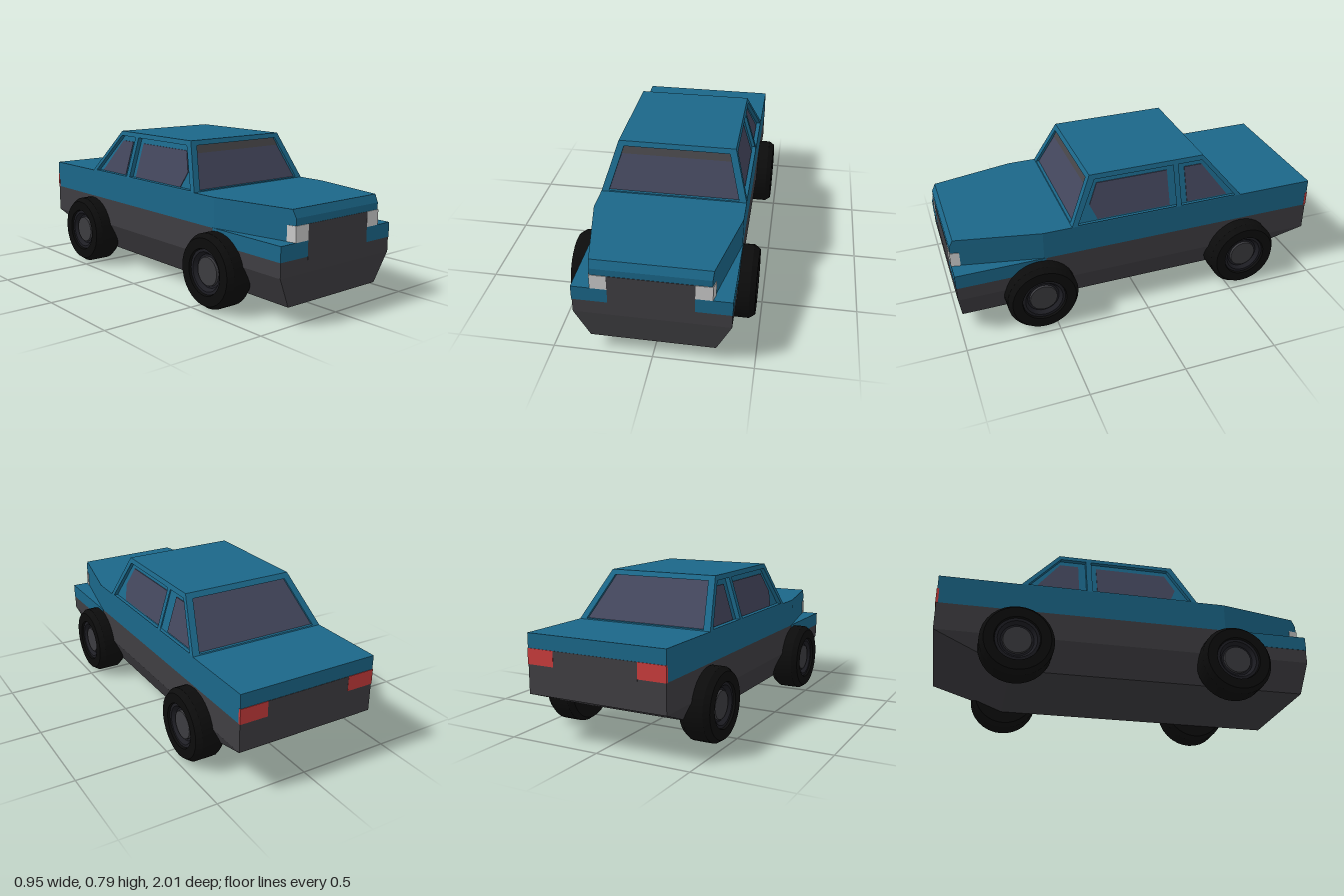
import * as THREE from 'three';
import { toCreasedNormals } from 'three/addons/utils/BufferGeometryUtils.js';
import { ConvexGeometry } from 'three/addons/geometries/ConvexGeometry.js';

const mat = (color) => new THREE.MeshStandardMaterial({ color });
const BLUE = mat(0x1b6789), GREY = mat(0x3f3e42), GLASS = mat(0x43465c), SHADE = mat(0x454447);
const LAMP = mat(0xcccccc), RED = mat(0xc83c3c), TYRE = mat(0x0c0c0c), RIM = mat(0x1e1e24), HUB = mat(0x3c3c40);

// Cabin outline: belt line, roof line, and how each face leans between them
const BELT = 0.545, ROOF = 0.79;
const lean = (a, b) => (y) => a + ((b - a) * (y - BELT)) / (ROOF - BELT);
const sideX = lean(0.385, 0.31), frontZ = lean(0.385, 0.265), rearZ = lean(-0.575, -0.37);

export function createModel() {
  const model = new THREE.Group();

  const add = (name, geometry, material, parent = model) => {
    const mesh = new THREE.Mesh(geometry, material);
    mesh.name = name;
    parent.add(mesh);
    return mesh;
  };
  // Convex solid from half its corners, mirrored across x
  const solid = (name, half, material) => add(name, new ConvexGeometry(
    half.flatMap(([x, y, z]) => [new THREE.Vector3(x, y, z), new THREE.Vector3(-x, y, z)])), material);
  const block = (name, [x0, x1], [y0, y1], [z0, z1], material) => {
    const g = new THREE.BoxGeometry(x1 - x0, y1 - y0, z1 - z0);
    g.translate((x0 + x1) / 2, (y0 + y1) / 2, (z0 + z1) / 2);
    return add(name, g, material);
  };
  const mirrored = (s, a, b) => (s > 0 ? [a, b] : [-b, -a]);

  // Lower body with tapered sills and a rising tail
  solid('lowerBody', [
    [0.385, 0.39, 1], [0.385, 0.39, -1], [0.385, 0.24, 1], [0.385, 0.24, -1],
    [0.31, 0.085, 0.98], [0.31, 0.085, -0.6],
  ], GREY);

  // Upper body with a narrowing bonnet and chamfered nose
  solid('upperBody', [
    [0.385, 0.39, -1], [0.385, BELT, -1], [0.385, 0.39, 0.54], [0.385, BELT, 0.54],
    [0.29, 0.39, 1], [0.29, 0.505, 1], [0.294, BELT, 0.98],
  ], BLUE);
  block('grille', [-0.21, 0.21], [0.3, 0.47], [0.95, 1.002], GREY);
  block('tailPanel', [-0.235, 0.235], [0.38, 0.47], [-1.002, -0.95], GREY);

  for (const s of [1, -1]) {
    const side = s > 0 ? 'left' : 'right';
    block(side + 'FrontFender', mirrored(s, 0.21, 0.387), [0.315, 0.392], [0.53, 1.002], BLUE);
    block(side + 'TailLight', mirrored(s, 0.235, 0.386), [0.39, 0.47], [-1.003, -0.99], RED);
    const lamp = [];
    for (const y of [0.392, 0.47])
      for (const [x, z] of [[0.21, 0.955], [0.303, 0.955], [0.293, 1.003], [0.21, 1.003]])
        lamp.push(new THREE.Vector3(s * x, y, z));
    add(side + 'Headlight', new ConvexGeometry(lamp), LAMP);
  }

  // Cabin core, set in behind the window frames
  const inset = 0.025;
  solid('cabinCore', [BELT - 0.01, ROOF].flatMap((y) => [
    [sideX(y) - inset, y, frontZ(y) - inset], [sideX(y) - inset, y, rearZ(y) + inset],
  ]), BLUE);

  // Flat outline (u, y) with holes, leaned onto a cabin face; w runs outward
  const path = (pts) => pts.map(([u, y]) => new THREE.Vector2(u, y));
  const panel = (name, outline, holes, thick, sink, face, material) => {
    const shape = new THREE.Shape(path(outline));
    holes.forEach((h) => shape.holes.push(new THREE.Path(path(h))));
    let g = new THREE.ExtrudeGeometry(shape, { depth: thick, bevelEnabled: false });
    const p = g.attributes.position;
    for (let i = 0; i < p.count; i++) {
      const u = p.getX(i), y = p.getY(i), w = p.getZ(i) - thick - sink;
      p.setXYZ(i, ...face(u, y, w));
    }
    g.computeVertexNormals();
    add(name, g, material);
  };
  const onFront = (u, y, w) => [u, y, frontZ(y) + w];
  const onRear = (u, y, w) => [-u, y, rearZ(y) - w];
  const onLeft = (u, y, w) => [sideX(y) + w, y, -u];
  const onRight = (u, y, w) => [-sideX(y) - w, y, u];

  // Windscreen and rear window
  const endOutline = [[-0.385, BELT], [0.385, BELT], [0.31, ROOF], [-0.31, ROOF]];
  const endGlass = [[-0.345, 0.55], [0.345, 0.55], [0.28, 0.765], [-0.28, 0.765]];
  for (const [name, face] of [['windscreen', onFront], ['rearWindow', onRear]]) {
    panel(name + 'Frame', endOutline, [endGlass], 0.028, 0, face, BLUE);
    panel(name, endGlass, [], 0.012, 0.016, face, GLASS);
  }
  panel('sunStrip', [[-0.292, 0.725], [0.292, 0.725], [0.28, 0.765], [-0.28, 0.765]],
    [], 0.01, 0.013, onFront, SHADE);

  // Side frames with two openings each, and their glass
  const sideOutline = [[0.385, BELT], [0.265, ROOF], [-0.37, ROOF], [-0.575, BELT]];
  const openings = [
    [[0.352, 0.55], [0.24, 0.765], [-0.195, 0.765], [-0.195, 0.55]],
    [[-0.225, 0.55], [-0.225, 0.765], [-0.362, 0.765], [-0.54, 0.55]],
  ];
  const glass = [
    [[0.24, 0.552], [0.275, 0.63], [0.225, 0.735], [-0.165, 0.735], [-0.165, 0.552]],
    [[-0.265, 0.552], [-0.265, 0.735], [-0.365, 0.735], [-0.5, 0.552]],
  ];
  for (const [side, face, flip] of [['left', onLeft, -1], ['right', onRight, 1]]) {
    const turn = (pts) => pts.map(([z, y]) => [flip * z, y]);
    panel(side + 'WindowFrame', turn(sideOutline), openings.map(turn), 0.028, 0, face, BLUE);
    glass.forEach((g, i) =>
      panel(side + (i ? 'RearGlass' : 'FrontGlass'), turn(g), [], 0.01, 0.021, face, GLASS));
  }

  // Wheels: tyre, stepped rim and hub as turned profiles
  const turned = (pts) => toCreasedNormals(new THREE.LatheGeometry(path(pts), 32), 0.4);
  const tyre = turned([[0, -0.082], [0.17, -0.082], [0.19, -0.053], [0.19, 0.053], [0.17, 0.082],
    [0.118, 0.082], [0.112, 0.045], [0, 0.045]]);
  const rim = turned([[0.114, 0.045], [0.114, 0.07], [0.1, 0.07], [0.085, 0.05], [0, 0.05]]);
  const hub = turned([[0.075, 0.045], [0.072, 0.062], [0, 0.062]]);
  for (const s of [1, -1])
    for (const [end, z] of [['Front', 0.57], ['Rear', -0.585]]) {
      const wheel = new THREE.Group();
      wheel.name = (s > 0 ? 'left' : 'right') + end + 'Wheel';
      add('tyre', tyre, TYRE, wheel);
      add('rim', rim, RIM, wheel);
      add('hub', hub, HUB, wheel);
      wheel.rotation.z = (-s * Math.PI) / 2;
      wheel.position.set(s * 0.392, 0.19, z);
      model.add(wheel);
    }

  return model;
}
